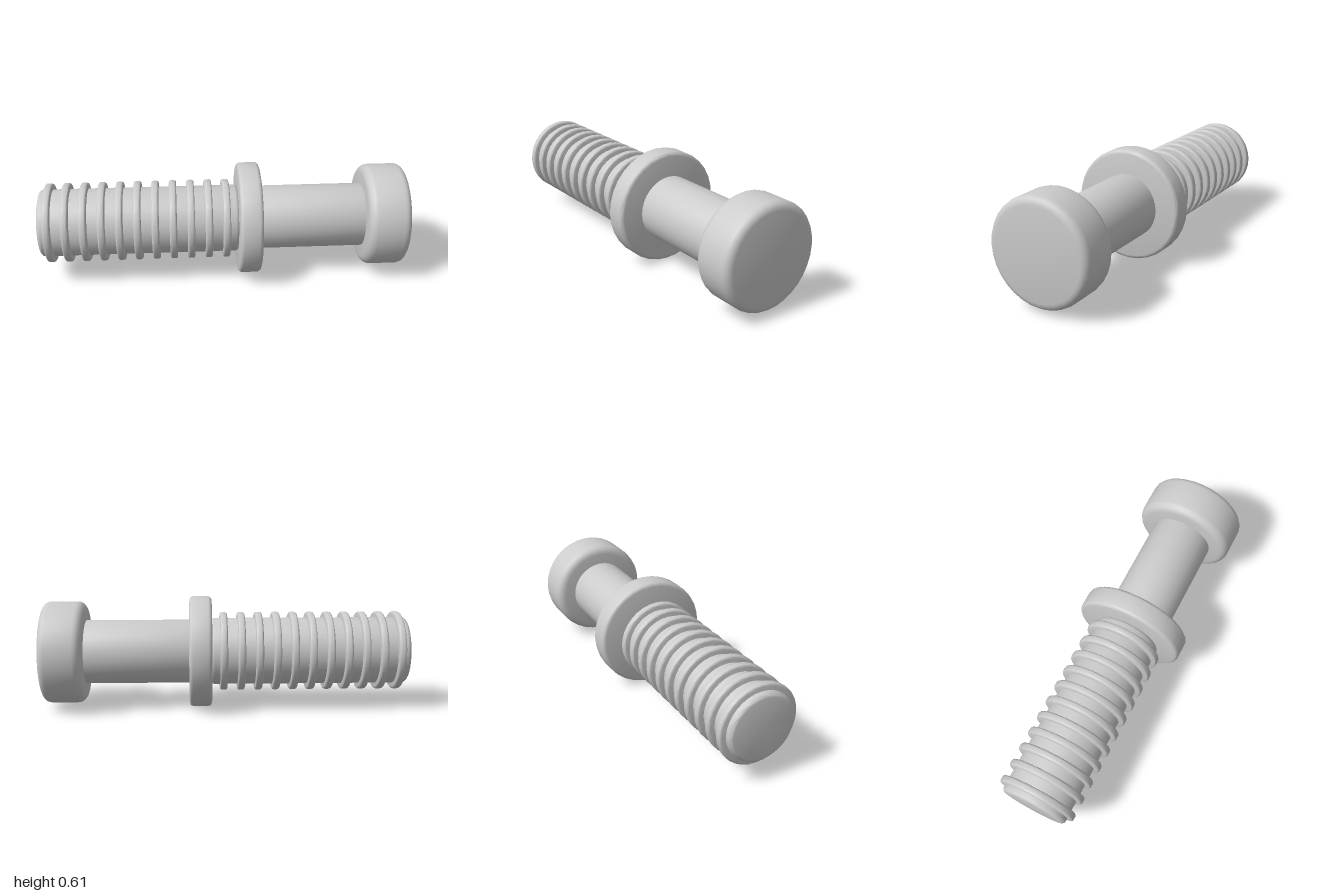
import * as THREE from 'three';
import { toCreasedNormals } from 'three/addons/utils/BufferGeometryUtils.js';

const AXIS_Y = 0.306;
const SEGMENTS = 32;
const material = new THREE.MeshStandardMaterial({ color: 0xcccccc });

// Disc or rod along x from x0 to x1, with rounded rims (b0, b1 are rim radii)
function turned(name, x0, x1, radius, b0, b1 = b0, steps = 3) {
  const profile = [new THREE.Vector2(0, x0)];
  for (let i = 0; i <= steps; i++) {
    const a = (i / steps) * Math.PI / 2;
    profile.push(new THREE.Vector2(radius - b0 + b0 * Math.sin(a), x0 + b0 - b0 * Math.cos(a)));
  }
  for (let i = 0; i <= steps; i++) {
    const a = (i / steps) * Math.PI / 2;
    profile.push(new THREE.Vector2(radius - b1 + b1 * Math.cos(a), x1 - b1 + b1 * Math.sin(a)));
  }
  profile.push(new THREE.Vector2(0, x1));
  const geometry = toCreasedNormals(new THREE.LatheGeometry(profile, SEGMENTS), 0.6);
  geometry.rotateZ(-Math.PI / 2);
  const mesh = new THREE.Mesh(geometry, material);
  mesh.name = name;
  mesh.position.y = AXIS_Y;
  return mesh;
}

export function createModel() {
  const model = new THREE.Group();
  model.name = 'ribbedStud';

  // Ribbed end: core with evenly spaced rings
  model.add(turned('ribbedCore', -1, 0.085, 0.184, 0.02));
  const ribs = new THREE.Group();
  ribs.name = 'ribs';
  for (let i = 0; i < 11; i++) {
    const x = -0.945 + i * 0.096;
    ribs.add(turned(`rib${i + 1}`, x - 0.02, x + 0.02, 0.217, 0.011));
  }
  model.add(ribs);

  // Collar, plain shank and head
  model.add(turned('collar', 0.08, 0.202, AXIS_Y, 0.02));
  model.add(turned('shank', 0.195, 0.78, 0.175, 0.006));
  model.add(turned('head', 0.77, 1, 0.28, 0.045, 0.04, 4));

  return model;
}
